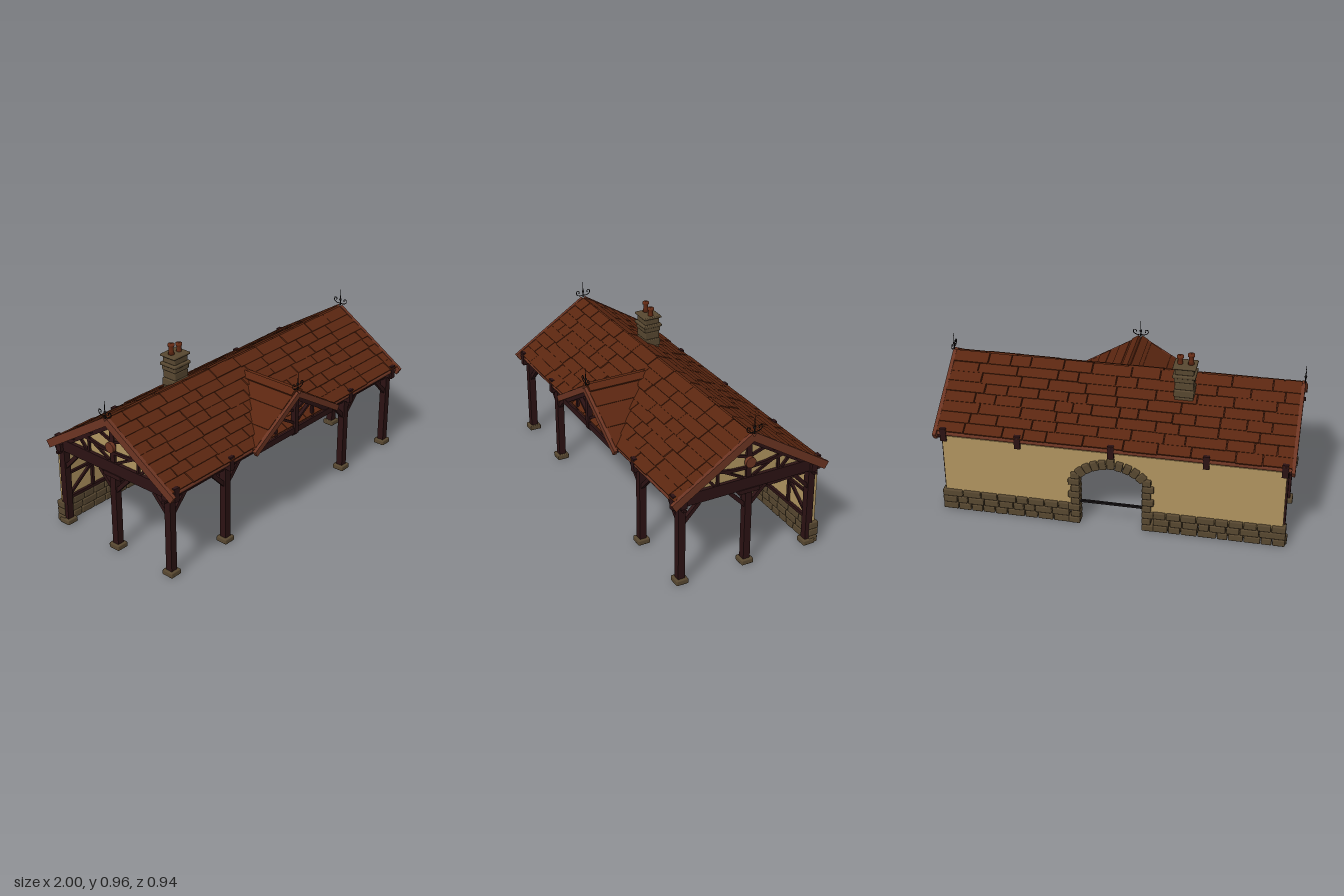
import * as THREE from 'three';
import { RoundedBoxGeometry } from 'three/addons/geometries/RoundedBoxGeometry.js';

const mat = (name, color) => {
  const m = new THREE.MeshStandardMaterial({ color });
  m.name = name;
  return m;
};

export function createModel() {
  const root = new THREE.Group();
  const tile = mat('roofTile', 0x5a2610), board = mat('roofBoard', 0x3c190c);
  const timber = mat('darkTimber', 0x2b1213), barge = mat('redTimber', 0x6b3422);
  const stone = mat('stone', 0x574730), plaster = mat('plaster', 0xb0945f);
  const iron = mat('iron', 0x141011), clay = mat('clay', 0x632a14);
  plaster.side = THREE.DoubleSide;
  const wallFace = mat('innerPlaster', 0xb0945f);

  let seed = 7;
  const rnd = (a, b) => {
    seed = (seed * 16807) % 2147483647;
    return a + (b - a) * seed / 2147483647;
  };
  const add = (name, geo, m, x = 0, y = 0, z = 0, parent = root) => {
    const mesh = new THREE.Mesh(geo, m);
    mesh.name = name;
    mesh.position.set(x, y, z);
    parent.add(mesh);
    return mesh;
  };
  const box = (name, m, w, h, d, x, y, z, parent) =>
    add(name, new THREE.BoxGeometry(w, h, d), m, x, y, z, parent);
  const rock = (name, w, h, d, x, y, z) =>
    add(name, new RoundedBoxGeometry(w, h, d, 1, 0.006), stone, x, y, z);
  // Square timber between two points: w across, h deep
  const beam = (name, a, b, w, h, m = timber) => {
    const p = new THREE.Vector3(...a), q = new THREE.Vector3(...b);
    const mesh = box(name, m, w, h, p.distanceTo(q), 0, 0, 0);
    mesh.position.copy(p).lerp(q, 0.5);
    mesh.lookAt(q);
    return mesh;
  };

  const PITCH = Math.atan(0.63), ZC = -0.005;

  // Main roof: boards with staggered rows of tiles on both slopes
  for (const back of [0, 1]) {
    const slope = new THREE.Group();
    slope.name = back ? 'backRoof' : 'frontRoof';
    slope.rotation.set(PITCH, 0, 0);
    const holder = new THREE.Group();
    holder.position.set(0, 0.778, ZC);
    holder.rotation.y = back * Math.PI;
    holder.add(slope);
    root.add(holder);
    box('roofBoards', board, 1.96, 0.012, 0.505, 0, -0.004, 0.2525, slope);
    for (let r = 0; r < 8; r++) {
      let x = -0.98;
      while (x < 0.98) {
        let w = rnd(0.1, 0.24);
        if (x + w > 0.92) w = 0.98 - x;
        const t = box('roofTile', tile, w - 0.005, 0.01, 0.071,
          x + w / 2, 0.008 + rnd(0, 0.004), 0.034 + r * 0.0635 + rnd(-0.003, 0.003), slope);
        t.rotation.x = -0.08;
        x += w;
      }
    }
  }

  // Barge boards, finials and end gables
  const finial = (x, y, z, turn) => {
    const g = new THREE.Group();
    g.name = 'finial';
    g.position.set(x, y, z);
    g.rotation.y = turn;
    root.add(g);
    add('finialRod', new THREE.CylinderGeometry(0.001, 0.004, 0.1, 6), iron, 0, 0.045, 0, g);
    add('finialKnob', new THREE.SphereGeometry(0.008, 8, 6), iron, 0, 0.03, 0, g);
    for (const s of [-1, 1]) {
      const pts = [[0.003, 0.008], [0.022, 0.006], [0.044, 0.02], [0.04, 0.038], [0.026, 0.034], [0.028, 0.022]];
      const c = new THREE.CatmullRomCurve3(pts.map(([a, b]) => new THREE.Vector3(s * a, b, 0)));
      add('finialScroll', new THREE.TubeGeometry(c, 16, 0.0025, 5), iron, 0, 0, 0, g);
    }
  };
  for (const sx of [-1, 1]) {
    for (const s of [-1, 1])
      beam('bargeBoard', [sx * 0.983, 0.774, ZC], [sx * 0.983, 0.485, ZC + s * 0.455], 0.02, 0.045, barge);
    finial(sx * 0.99, 0.795, ZC, Math.PI / 2);
    const tri = new THREE.Shape([[-0.33, 0.52], [0.33, 0.52], [0, 0.735]].map(p => new THREE.Vector2(...p)));
    add('gablePlaster', new THREE.ShapeGeometry(tri), plaster, sx * 0.94, 0, ZC).rotation.y = Math.PI / 2;
    const disc = add('gableDisc', new THREE.CylinderGeometry(0.03, 0.03, 0.02, 20), barge, sx * 0.963, 0.615, ZC);
    disc.rotation.z = Math.PI / 2;
  }

  // Roof trusses on five lines
  for (const x of [-0.94, -0.52, 0, 0.52, 0.94]) {
    box('tieBeam', timber, 0.04, 0.068, 0.86, x, 0.491, ZC);
    box('kingPost', timber, 0.03, 0.23, 0.03, x, 0.63, ZC);
    for (const s of [-1, 1]) {
      const P = (z, y) => [x, y, ZC + s * z];
      beam('principalRafter', P(0, 0.738), P(0.41, 0.48), 0.035, 0.03);
      box('beamEnd', timber, 0.034, 0.08, 0.02, x, 0.492, ZC + s * 0.432);
      beam('queenPost', P(0.18, 0.52), P(0.18, 0.63), 0.025, 0.014);
      beam('trussStrut', P(0.01, 0.64), P(0.11, 0.675), 0.025, 0.014);
      beam('lowerStrut', P(0.03, 0.525), P(0.17, 0.6), 0.025, 0.012);
      beam('outerStrut', P(0.2, 0.525), P(0.25, 0.58), 0.025, 0.014);
      beam('collar', P(0.01, 0.578), P(0.1, 0.582), 0.028, 0.016);
      beam('collar', P(0.095, 0.582), P(0.23, 0.605), 0.028, 0.016);
    }
  }
  // Ridge, purlins, plates and gutters
  box('ridgeBeam', timber, 1.94, 0.03, 0.025, 0, 0.745, ZC);
  for (const s of [-1, 1]) {
    for (const z of [0.15, 0.29])
      box('purlin', timber, 1.94, 0.024, 0.024, 0, 0.755 - 0.63 * z, ZC + s * z);
    box('wallPlate', timber, 1.96, 0.045, 0.035, 0, 0.48, ZC + s * 0.39);
    box('lowerPlate', timber, 1.98, 0.014, 0.02, 0, 0.452, ZC + s * 0.39);
    const g = add('gutter', new THREE.CylinderGeometry(0.012, 0.012, 1.97, 8), barge, 0, 0.496, ZC + s * 0.428);
    g.rotation.z = Math.PI / 2;
  }

  // Posts on stone feet with knee braces
  const post = (x, z, braces) => {
    rock('postFoot', 0.07, 0.03, 0.07, x, 0.015, z);
    box('post', timber, 0.04, 0.44, 0.04, x, 0.245, z);
    for (const [dx, dz] of braces)
      beam('kneeBrace', [x + dx * 0.012, 0.355, z + dz * 0.012], [x + dx * 0.105, 0.452, z + dz * 0.105], 0.022, 0.022);
  };
  for (const s of [-1, 1]) {
    post(s * 0.94, 0.385, [[-s, 0], [0, -1]]);
    post(s * 0.52, 0.385, [[-1, 0], [1, 0], [0, -1]]);
    post(s * 0.94, ZC, [[0, 1], [0, -1], [-s, 0]]);
    post(s * 0.94, -0.393, [[0, 1]]);
    box('postPad', timber, 0.05, 0.024, 0.125, s * 0.94, 0.448, ZC);
  }

  // Back wall with arched opening
  const wall = new THREE.Shape();
  wall.moveTo(-0.95, 0.1);
  wall.lineTo(-0.19, 0.1);
  wall.lineTo(-0.19, 0.34);
  wall.quadraticCurveTo(0, 0.47, 0.19, 0.34);
  wall.lineTo(0.19, 0.1);
  wall.lineTo(0.95, 0.1);
  wall.lineTo(0.95, 0.48);
  wall.lineTo(-0.95, 0.48);
  add('backWall', new THREE.ExtrudeGeometry(wall, { depth: 0.02, bevelEnabled: false, curveSegments: 14 }), plaster, 0, 0, -0.435);
  add('archPanel', new THREE.PlaneGeometry(0.5, 0.13), wallFace, 0, 0.4, -0.412);

  // Stone plinth, jambs and arch
  for (const s of [-1, 1]) {
    for (let r = 0; r < 3; r++) {
      let x = 0.235;
      while (x < 0.96) {
        let w = rnd(0.06, 0.11);
        if (x + w > 0.91) w = 0.97 - x;
        rock('plinthStone', w - 0.004, 0.041, 0.052 + rnd(0, 0.006), s * (x + w / 2), 0.0215 + r * 0.043, -0.423);
        x += w;
      }
    }
    for (let i = 0; i < 8; i++) {
      const w = i % 2 ? 0.05 : 0.066;
      rock('jambStone', w, 0.039, 0.064 + rnd(0, 0.006), s * (0.174 + w / 2), 0.021 + i * 0.0425, -0.42);
    }
  }
  for (let i = -4; i <= 4; i++) {
    const a = i * 0.183, R = i ? 0.254 : 0.262;
    const v = rock('archStone', 0.041, i ? 0.056 : 0.066, 0.066, R * Math.sin(a), 0.156 + R * Math.cos(a), -0.42);
    v.rotation.z = -a;
  }
  box('openingBar', iron, 0.36, 0.013, 0.013, 0, 0.138, -0.42);

  // Timber framing on the inner wall face
  const ZF = -0.408;
  for (const s of [-1, 1]) {
    const stick = (x0, y0, x1, y1, w = 0.014) =>
      beam('wallTimber', [s * x0, y0, ZF], [s * x1, y1, ZF], w, w);
    for (const x of [0.25, 0.385, 0.735]) stick(x, 0.13, x, 0.46, 0.016);
    stick(0.52, 0.13, 0.52, 0.46, 0.034);
    stick(0.24, 0.138, 0.94, 0.138, 0.018);
    stick(0.24, 0.287, 0.94, 0.287);
    stick(0.54, 0.145, 0.92, 0.43);
    stick(0.54, 0.43, 0.92, 0.145);
    stick(0.255, 0.44, 0.38, 0.295);
    stick(0.255, 0.295, 0.38, 0.44);
    stick(0.39, 0.28, 0.51, 0.145);
    stick(0.39, 0.295, 0.51, 0.44);
  }

  // Chimney: hood, coursed stack, caps and clay pots
  const CX = -0.35, CZ = -0.12;
  const hood = add('chimneyHood', new THREE.CylinderGeometry(0.068, 0.09, 0.075, 4, 1), stone, CX, 0.405, CZ);
  hood.geometry.rotateY(Math.PI / 4);
  hood.material = stone;
  stone.flatShading = false;
  hood.geometry = hood.geometry.toNonIndexed();
  hood.geometry.computeVertexNormals();
  for (let i = 0; i < 9; i++) {
    const w = i % 2 ? 0.092 : 0.1;
    rock('chimneyCourse', w + 0.012, 0.044, w, CX, 0.463 + i * 0.0455, CZ);
  }
  rock('chimneyBand', 0.128, 0.018, 0.115, CX, 0.842, CZ);
  rock('chimneyCourse', 0.105, 0.034, 0.092, CX, 0.868, CZ);
  rock('chimneyCap', 0.128, 0.014, 0.11, CX, 0.894, CZ);
  const pot = [[0, 0], [0.018, 0], [0.014, 0.02], [0.014, 0.045], [0.019, 0.047], [0.019, 0.06], [0, 0.06]];
  for (const [dx, dy] of [[-0.03, 0.003], [0.03, -0.012]])
    add('chimneyPot', new THREE.LatheGeometry(pot.map(p => new THREE.Vector2(...p)), 12), clay, CX + dx, 0.9 + dy, CZ);

  // Front dormer roof: stepped rows cut to the valley line
  for (const s of [-1, 1]) {
    const side = new THREE.Group();
    side.name = 'dormerRoof';
    side.position.y = 0.722;
    side.rotation.z = -s * PITCH;
    root.add(side);
    const k = Math.cos(PITCH), n = 6;
    for (let i = 0; i < n; i++) {
      const x0 = i * 0.35 / n, x1 = x0 + 0.35 / n + 0.003;
      const sh = new THREE.Shape([[x0, 0.447], [x1, 0.447], [x1, Math.min(x1 + 0.06, 0.43)], [x0, x0 + 0.06]]
        .map(([x, z]) => new THREE.Vector2(s * x / k, -z)));
      const geo = new THREE.ExtrudeGeometry(sh, { depth: 0.011, bevelEnabled: false });
      geo.rotateX(-Math.PI / 2);
      add('dormerTile', geo, tile, 0, i % 2 ? 0.001 : -0.003, 0, side);
    }
    box('dormerRidge', tile, 0.045, 0.012, 0.38, s * 0.022, 0.014, 0.255, side);
    // Dormer truss
    const P = (x, y, z = 0.43) => [s * x, y, z];
    beam('dormerBarge', P(0, 0.708, 0.455), P(0.36, 0.487, 0.455), 0.02, 0.034, barge);
    beam('dormerRafter', P(0, 0.68), P(0.3, 0.493), 0.025, 0.024);
    beam('dormerStrut', P(0.01, 0.53), P(0.13, 0.6), 0.02, 0.014);
    beam('dormerStrut', P(0.02, 0.61), P(0.09, 0.63), 0.02, 0.012);
    beam('dormerStrut', P(0.16, 0.49), P(0.16, 0.575), 0.02, 0.012);
  }
  box('dormerTie', timber, 0.66, 0.035, 0.03, 0, 0.485, 0.43);
  box('dormerKingPost', timber, 0.028, 0.25, 0.03, 0, 0.59, 0.435);
  finial(0, 0.735, 0.45, 0);

  return root;
}
